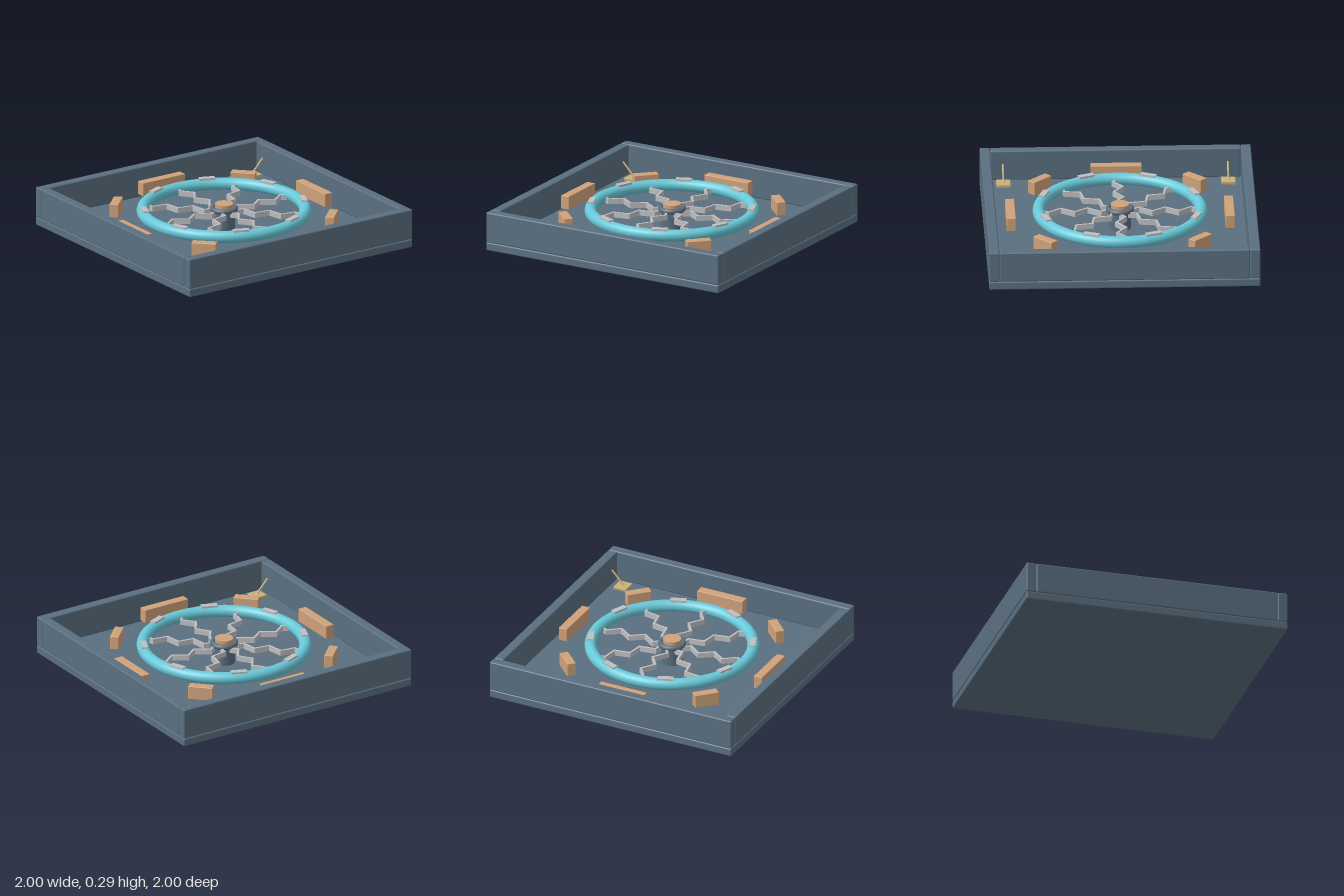
import * as THREE from 'three';
import { RoundedBoxGeometry } from 'three/addons/geometries/RoundedBoxGeometry.js';

const mat = (name, color) => {
  const m = new THREE.MeshStandardMaterial({ color });
  m.name = name;
  return m;
};

export function createModel() {
  const slate = mat('slate', 0x5a6f80);
  const cyan = mat('cyan', 0x68c8d8);
  const tan = mat('tan', 0xcfa27a);
  const brass = mat('brass', 0xc8b078);
  const silver = mat('silver', 0xbfbfc2);

  const model = new THREE.Group();
  model.name = 'tray';

  const add = (name, geometry, material, x, y, z, parent = model) => {
    const mesh = new THREE.Mesh(geometry, material);
    mesh.name = name;
    mesh.position.set(x, y, z);
    parent.add(mesh);
    return mesh;
  };
  const rounded = (w, h, d, r = 0.01) => new RoundedBoxGeometry(w, h, d, 2, r);

  // Tray: floor and four walls
  add('floor', rounded(2, 0.063, 2), slate, 0, 0.0315, 0);
  for (const s of [-1, 1]) {
    add(s > 0 ? 'frontWall' : 'backWall', rounded(2, 0.232, 0.075), slate, 0, 0.179, s * 0.9625);
    add(s > 0 ? 'leftWall' : 'rightWall', rounded(0.075, 0.232, 1.848), slate, s * 0.9625, 0.179, 0);
  }

  // Ring
  const ringY = 0.2;
  const ring = add('ring', new THREE.TorusGeometry(0.6, 0.045, 20, 96), cyan, 0, ringY, 0);
  ring.rotation.x = Math.PI / 2;

  // Hub: post, rounded collar and cap
  add('hubPost', new THREE.CylinderGeometry(0.08, 0.08, 0.165, 40), slate, 0, 0.1425, 0);
  const collar = add('hubCollar', new THREE.TorusGeometry(0.085, 0.02, 14, 48), slate, 0, 0.215, 0);
  collar.rotation.x = Math.PI / 2;
  add('hubCap', new THREE.CylinderGeometry(0.068, 0.068, 0.055, 40), tan, 0, 0.2275, 0);

  // Zigzag spokes: [radius, sideways offset]
  const zigzag = [[0.09, 0], [0.14, -0.035], [0.24, 0.036], [0.335, -0.033],
    [0.435, 0.036], [0.527, -0.033], [0.565, -0.008]];
  for (let i = 0; i < 8; i++) {
    const spoke = new THREE.Group();
    spoke.name = 'spoke';
    spoke.rotation.y = i * Math.PI / 4;
    model.add(spoke);
    for (let k = 1; k < zigzag.length; k++) {
      const [r0, s0] = zigzag[k - 1];
      const [r1, s1] = zigzag[k];
      const length = Math.hypot(r1 - r0, s1 - s0) + 0.012;
      const bar = add('spokeBar', new THREE.BoxGeometry(length, 0.04, 0.016), silver,
        (r0 + r1) / 2, ringY - 0.01, (s0 + s1) / 2, spoke);
      bar.rotation.y = -Math.atan2(s1 - s0, r1 - r0);
    }
  }

  // Inlays on top of the ring
  for (let i = 0; i < 8; i++) {
    const a = (i + 0.5) * Math.PI / 4;
    const inlay = add('ringInlay', new THREE.BoxGeometry(0.045, 0.025, 0.12), silver,
      Math.cos(a) * 0.598, ringY + 0.041, -Math.sin(a) * 0.598);
    inlay.rotation.y = a;
  }

  // Bumper blocks: long ones at the sides, short ones on the diagonals
  for (let i = 0; i < 8; i++) {
    const a = i * Math.PI / 4;
    const long = i % 2 === 0;
    const block = add(long ? 'longBlock' : 'shortBlock',
      rounded(0.068, 0.105, long ? 0.378 : 0.185, 0.005), tan,
      Math.cos(a) * 0.808, 0.175, -Math.sin(a) * 0.808);
    block.rotation.y = a;
  }

  // Corner plates, each with a slanted lever rising to the side wall
  for (const sx of [-1, 1]) {
    for (const sz of [-1, 1]) {
      add('cornerPlate', rounded(0.105, 0.025, 0.105, 0.004), brass, sx * 0.83, 0.0745, sz * 0.83);
      const from = new THREE.Vector3(sx * 0.82, 0.08, sz * 0.83);
      const to = new THREE.Vector3(sx * 0.922, 0.19, sz * 0.83);
      const mid = from.clone().add(to).multiplyScalar(0.5);
      const lever = add('cornerLever', new THREE.CylinderGeometry(0.007, 0.007, from.distanceTo(to), 12),
        brass, mid.x, mid.y, mid.z);
      lever.quaternion.setFromUnitVectors(new THREE.Vector3(0, 1, 0), to.clone().sub(from).normalize());
    }
  }

  return model;
}
